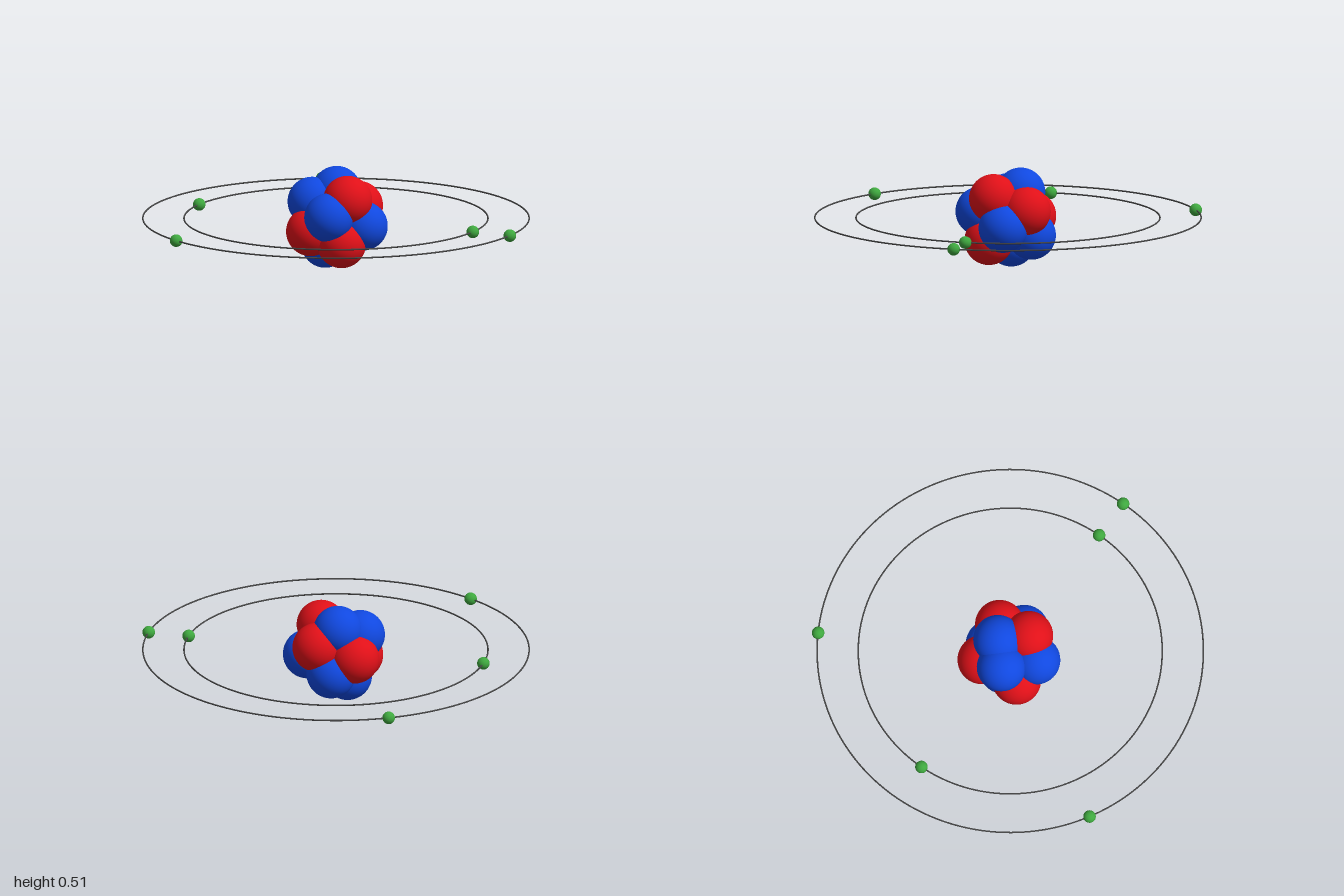
import * as THREE from 'three';

const CENTER = new THREE.Vector3(-0.015, 0.265, 0);

const material = (color) => new THREE.MeshStandardMaterial({ color });

function addMesh(parent, name, geometry, mat, position = [0, 0, 0]) {
  const mesh = new THREE.Mesh(geometry, mat);
  mesh.name = name;
  mesh.position.set(...position);
  parent.add(mesh);
  return mesh;
}

export function createModel() {
  const model = new THREE.Group();
  model.name = 'atom';

  const red = material(0xe01018);
  const blue = material(0x1048e0);
  const green = material(0x3fa83f);
  const dark = material(0x444444);

  // Nucleus: packed protons and neutrons
  const nucleus = new THREE.Group();
  nucleus.name = 'nucleus';
  model.add(nucleus);
  const nucleon = new THREE.SphereGeometry(0.125, 48, 32);
  const protons = [
    [0.075, 0.375, 0.05],
    [-0.107, 0.207, 0.105],
    [0.055, 0.155, 0.08],
    [-0.135, 0.26, -0.09],
    [0.055, 0.315, -0.117],
  ];
  const neutrons = [
    [0.012, 0.296, 0.14],
    [-0.04, 0.395, -0.06],
    [-0.135, 0.347, 0.03],
    [-0.075, 0.13, 0],
    [0.13, 0.235, -0.017],
    [-0.02, 0.18, -0.122],
  ];
  protons.forEach((p) => addMesh(nucleus, 'proton', nucleon, red, p));
  neutrons.forEach((p) => addMesh(nucleus, 'neutron', nucleon, blue, p));

  // Shells: a thin horizontal ring with evenly spaced electrons
  const electron = new THREE.SphereGeometry(0.032, 32, 20);
  const shells = [
    { name: 'innerShell', radius: 0.772, count: 2 },
    { name: 'outerShell', radius: 0.981, count: 3 },
  ];
  for (const { name, radius, count } of shells) {
    const shell = new THREE.Group();
    shell.name = name;
    shell.position.copy(CENTER);
    model.add(shell);

    const ring = new THREE.TorusGeometry(radius, 0.004, 10, 160);
    addMesh(shell, 'orbitRing', ring, dark).rotation.x = Math.PI / 2;

    for (let i = 0; i < count; i++) {
      const a = (i / count) * Math.PI * 2;
      addMesh(shell, 'electron', electron, green, [radius * Math.cos(a), 0, radius * Math.sin(a)]);
    }
  }

  return model;
}
